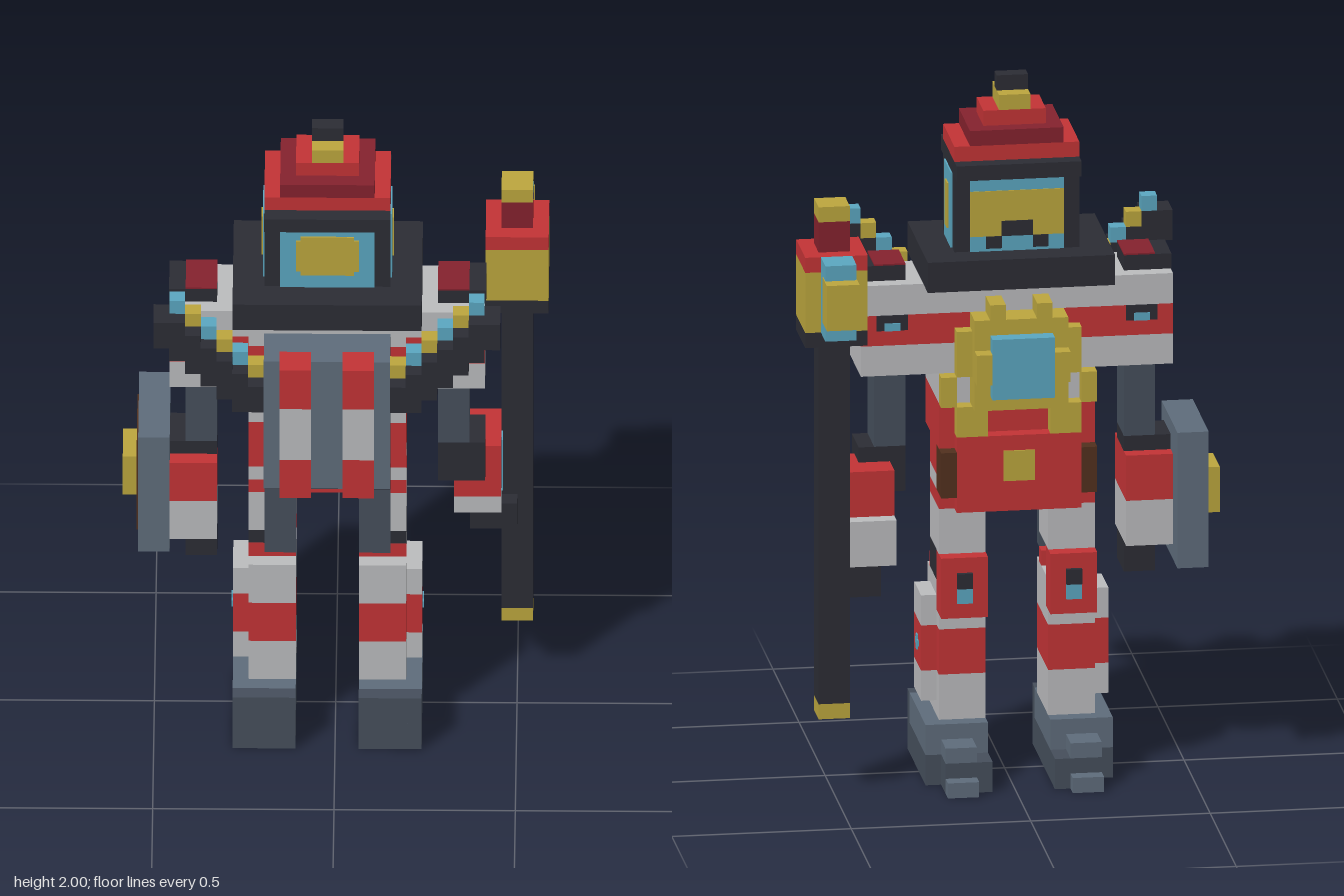
import * as THREE from 'three';

const V = 2 / 46; // size of one block
const mat = (name, color) => {
  const m = new THREE.MeshStandardMaterial({ color });
  m.name = name;
  return m;
};

export function createModel() {
  const red = mat('red', 0xc43436), wine = mat('darkRed', 0x86222e), white = mat('paleGrey', 0xbcbdbf);
  const black = mat('charcoal', 0x2c2d35), slate = mat('slate', 0x5f6d7c), navy = mat('darkSlate', 0x464f5c);
  const cyan = mat('cyan', 0x5ba8c2), gold = mat('gold', 0xbda73e), brown = mat('brown', 0x52301e);
  const model = new THREE.Group();

  // box given by block limits, measured from the body's centre line
  const box = (name, m, x0, x1, y0, y1, z0, z1, parent = model) => {
    const mesh = new THREE.Mesh(new THREE.BoxGeometry((x1 - x0) * V, (y1 - y0) * V, (z1 - z0) * V), m);
    mesh.position.set(((x0 + x1) / 2 - 0.5) * V, (y0 + y1) / 2 * V, (z0 + z1) / 2 * V);
    mesh.name = name;
    parent.add(mesh);
  };
  // the same box on both sides
  const pair = (name, m, x0, x1, ...r) => {
    box(name, m, x0, x1, ...r);
    box(name, m, -x1, -x0, ...r);
  };
  // stack of coloured bands: [material, bottom, top]
  const bands = (add, name, x0, x1, z0, z1, list) =>
    list.forEach(([m, y0, y1]) => add(name, m, x0, x1, y0, y1, z0, z1));
  const t = 0.1; // plate thickness

  // stepped roof
  box('antenna', black, -1, 1, 45, 46, 0, 1);
  box('roofCap', gold, -1, 1, 44, 45, -1, 2);
  box('roofTop', red, -2, 2, 43, 44, -1, 2);
  box('roofMiddle', wine, -3, 3, 42, 43, -2, 3);
  box('roofBase', red, -4, 4, 41, 42, -2, 3);
  box('roofRim', black, -4, 4, 40, 41, -3, 4);

  // head and its windows
  box('head', black, -4, 4, 35, 40, -2, 3);
  box('backWindow', cyan, -3, 3, 35, 40, 3, 3 + t);
  box('backLamp', gold, -2, 2, 36.3, 38.7, 3, 3 + 2 * t);
  box('backLamp', gold, -1.7, 1.7, 36, 39, 3, 3 + 2 * t);
  pair('sideWindow', cyan, 4, 4 + t, 35, 40, -1, 2);
  pair('sideLamp', gold, 4, 4 + 2 * t, 36, 39, 0, 1);
  box('faceWindow', cyan, -3, 3, 35, 40, -2 - t, -2);
  box('face', gold, -3, 3, 36, 39, -2 - 1.5 * t, -2);
  box('mouth', black, -1, 1, 36, 37, -2 - 2 * t, -2);
  pair('mouthCorner', black, 1, 2, 35.2, 36, -2 - 2 * t, -2);
  box('collar', black, -6, 6, 33, 35, -4, 5);

  // torso
  bands(box, 'torso', -5, 5, -2, 4, [[white, 31, 33], [red, 29, 31], [white, 25, 29], [red, 22, 25]]);
  box('belt', black, -4, 4, 19, 22, -1, 3);
  box('pelvis', red, -4, 4, 18, 23, -3, -1);
  box('crotch', red, -2, 2, 18, 19, -1, 2);
  box('buckle', gold, -1, 1, 20, 22, -3 - t, -3);
  pair('pouch', brown, 4, 5, 19, 22, -3, -1);

  // chest ornament
  box('chestPlate', gold, -3, 3, 25, 31, -4, -2);
  box('chestScreen', cyan, -2, 2, 26, 30, -5, -4);
  pair('chestStud', gold, 2, 3, 27, 29, -5, -4);
  pair('chestBar', gold, 3, 4, 27, 30, -3, -2);
  pair('chestHorn', gold, 1, 2, 31, 32, -4, -2);
  pair('chestHook', gold, 4, 5, 25, 27, -3, -2);
  pair('waistStud', gold, 2, 4, 23, 25, -3, -2);

  // back pack with boosters
  box('backPack', slate, -4, 4, 22, 32, 4, 7);
  bands(pair, 'booster', 1, 3, 6, 8, [[red, 29, 32.05], [white, 25, 29], [red, 22, 25]]);
  pair('hipStrut', navy, 2, 4, 14, 19, 2, 3);

  // stepped wings with studs
  [[28, 30], [28, 31], [29, 32], [30, 33], [31, 34], [32, 35], [33, 35]].forEach(([y0, y1], i) => {
    pair('wingStep', black, 4 + i, 5 + i, y0, y1, 5, 7);
    if (i < 6) pair('wingStud', i % 2 ? cyan : gold, 4 + i, 5 + i, y1, y1 + 1, 5, 6);
  });

  // shoulders and upper arms
  bands(pair, 'shoulder', 5, 10, -2, 3, [[white, 31, 33], [red, 29, 31], [white, 27, 29]]);
  pair('shoulderCap', black, 7, 10.05, 32, 34, -1, 2);
  pair('shoulderTop', wine, 7, 9, 34, 34 + t, -1, 2);
  pair('shoulderPort', black, 7, 9, 30, 31, -2 - t, -2);
  pair('shoulderLight', cyan, 7.5, 8.5, 30, 30.5, -2 - 2 * t, -2);
  pair('upperArm', navy, 7, 9, 22, 27, -1, 2);

  // lowered right arm with shield
  box('elbow', black, -10, -7, 21, 22, -1, 2);
  bands(box, 'rightForearm', -10, -7, -2, 3, [[red, 18, 21], [white, 15, 18]]);
  box('rightHand', black, -9, -7, 13, 15, -1, 2);
  box('shield', slate, -12, -10, 14, 23, -4, 3);
  box('shieldPanel', brown, -12 - t, -12, 15, 22, -3, 2);
  box('shieldBoss', gold, -13, -12, 17, 20, -2, 1);

  // forward left arm
  box('elbow', black, 7, 10, 19, 22, -1, 2);
  box('leftForearm', red, 8, 11, 17, 21, -3, 1);
  box('leftWrist', white, 8, 11, 15, 18, -4, -2);
  box('leftWrist', white, 8, 11, 15, 17, -2, 0);
  box('forearmLight', cyan, 11, 11 + t, 16, 20, -2, -1);
  box('leftHand', black, 9, 12, 13, 15, -4, -1);

  // staff with lantern
  const staff = new THREE.Group();
  staff.name = 'staff';
  model.add(staff);
  box('staffTip', gold, 11, 13, 5, 6, -4, -2, staff);
  box('staffPole', black, 11, 13, 6, 30, -4, -2, staff);
  box('lanternBase', black, 10, 14, 30, 31, -5, -1, staff);
  box('lantern', gold, 10, 14, 31, 35, -5, -1, staff);
  box('lanternRoof', red, 10, 14, 35, 36, -5, -1, staff);
  box('lanternNeck', wine, 11, 13, 36, 38, -4, -2, staff);
  box('lanternTop', gold, 11, 13, 38, 39, -4, -2, staff);
  box('lanternBeam', cyan, 11, 13, 31, 36, -7, -5, staff);
  box('lanternLens', gold, 10.95, 13.05, 32, 35, -8, -6, staff);

  // legs
  bands(pair, 'thigh', 2, 5, -2, 2, [[red, 20, 22], [white, 19, 20], [red, 18, 19], [white, 15, 18]]);
  pair('knee', black, 2.5, 5, 13, 15, -2, 2);
  pair('kneeBack', red, 2, 5, 13, 14, 1, 2.05);
  pair('kneePad', red, 2, 5, 11, 15, -3, -1);
  pair('kneePort', black, 3, 4, 13, 14, -3 - 3 * t, -3);
  pair('kneeLight', cyan, 3, 4, 12, 13, -3 - 2 * t, -3);
  bands(pair, 'shin', 2, 5, -2, 3, [[white, 10, 13], [red, 7, 10], [white, 4, 7]]);
  bands(pair, 'shinGuard', 5, 6, -1, 2, [[white, 10, 12], [red, 7, 10], [white, 5, 7]]);
  pair('shinLight', cyan, 6, 6 + t, 8, 9, 0.3, 0.7);
  pair('shinLight', cyan, 6, 6 + t, 8.3, 8.7, 0, 1);

  // boots
  pair('bootSole', navy, 2, 6, 0, 2, -3, 5);
  pair('bootHeel', navy, 2, 6, 2, 4, 4, 5);
  pair('bootTop', slate, 2, 6, 2, 4, -3, 4);
  pair('toeSole', navy, 2, 5, 0, 2, -5, -3);
  pair('toeCap', slate, 3, 5, 2, 3, -5, -3);
  pair('toeTip', slate, 3, 5, 0, 1, -6, -5);

  return model;
}
